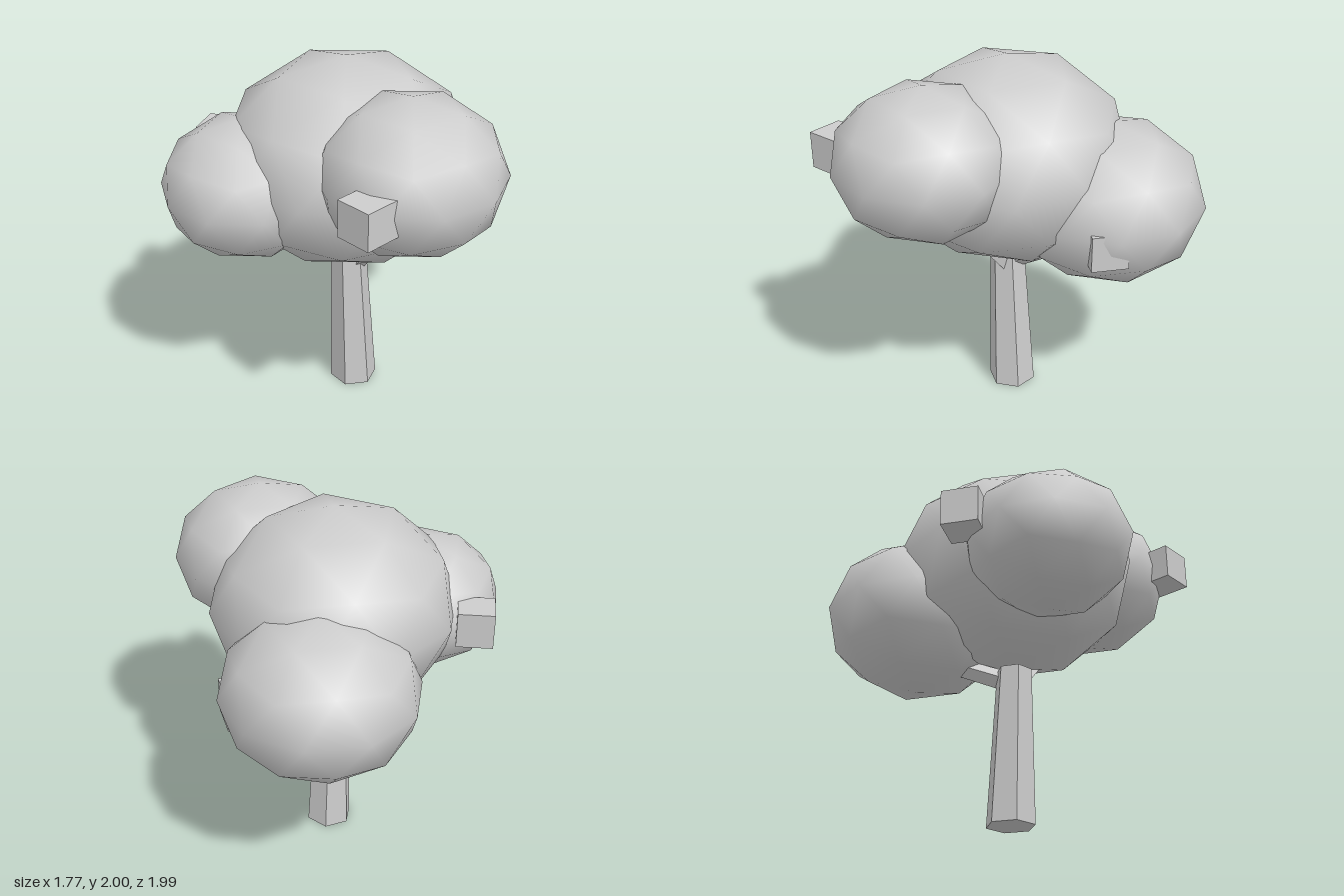
import * as THREE from 'three';

export function createModel() {
  const tree = new THREE.Group();
  tree.name = 'tree';

  const grey = new THREE.MeshStandardMaterial({ color: 0xcccccc });
  grey.name = 'plainGrey';

  const add = (geometry, name) => {
    const mesh = new THREE.Mesh(geometry, grey);
    mesh.name = name;
    tree.add(mesh);
    return mesh;
  };

  // Faceted outline without smooth shading
  const flat = (geometry) => {
    const g = geometry.toNonIndexed();
    g.computeVertexNormals();
    return g;
  };

  // Six-sided trunk: tapered, with its top leaning slightly back and sideways
  const trunkHeight = 0.86;
  const trunk = new THREE.CylinderGeometry(0.098, 0.133, trunkHeight, 6);
  trunk.translate(0, trunkHeight / 2, 0);
  const p = trunk.attributes.position;
  for (let i = 0; i < p.count; i++) {
    const t = p.getY(i) / trunkHeight;
    p.setXYZ(i, p.getX(i) - 0.015 * t, p.getY(i), p.getZ(i) + 0.047 + 0.028 * t);
  }
  add(flat(trunk), 'trunk');

  // Branches reaching from the trunk top into the foliage
  const branch = (name, from, to, radius) => {
    const a = new THREE.Vector3(...from), b = new THREE.Vector3(...to);
    const dir = b.clone().sub(a);
    const mesh = add(flat(new THREE.CylinderGeometry(radius * 0.9, radius, dir.length(), 4)), name);
    mesh.position.copy(a).lerp(b, 0.5);
    mesh.quaternion.setFromUnitVectors(new THREE.Vector3(0, 1, 0), dir.normalize());
  };
  branch('backBranch', [0, 0.81, 0.03], [-0.02, 0.96, -0.33], 0.055);
  branch('leftBranch', [0.02, 0.78, 0.07], [0.2, 1.02, 0.17], 0.05);

  // Foliage: smooth icospheres standing on a vertex, flattened vertically
  const leafBall = new THREE.IcosahedronGeometry(1, 1);
  leafBall.rotateZ(-Math.atan(2 / (1 + Math.sqrt(5))));
  const foliage = [
    ['mainFoliage', -0.023, 1.437, 0.075, 0.67],
    ['leftFoliage', 0.427, 1.562, 0.385, 0.482],
    ['rightFoliage', -0.46, 1.347, 0.393, 0.447],
    ['backFoliage', -0.035, 1.234, -0.474, 0.526],
  ];
  for (const [name, x, y, z, r] of foliage) {
    const mesh = add(leafBall, name);
    mesh.position.set(x, y, z);
    mesh.scale.set(r, r * 0.843, r);
  }

  // Cube fruit half sunk in the foliage
  const cube = new THREE.BoxGeometry(0.195, 0.195, 0.195);
  const fruit = [
    ['frontFruit', 0.377, 1.558, 0.865, -0.44],
    ['rightFruit', -0.78, 1.4, 0.042, 0.04],
    ['backFruit', 0.36, 1.17, -0.537, 0.44],
  ];
  for (const [name, x, y, z, turn] of fruit) {
    const mesh = add(cube, name);
    mesh.position.set(x, y, z);
    mesh.rotation.y = turn;
  }

  return tree;
}
